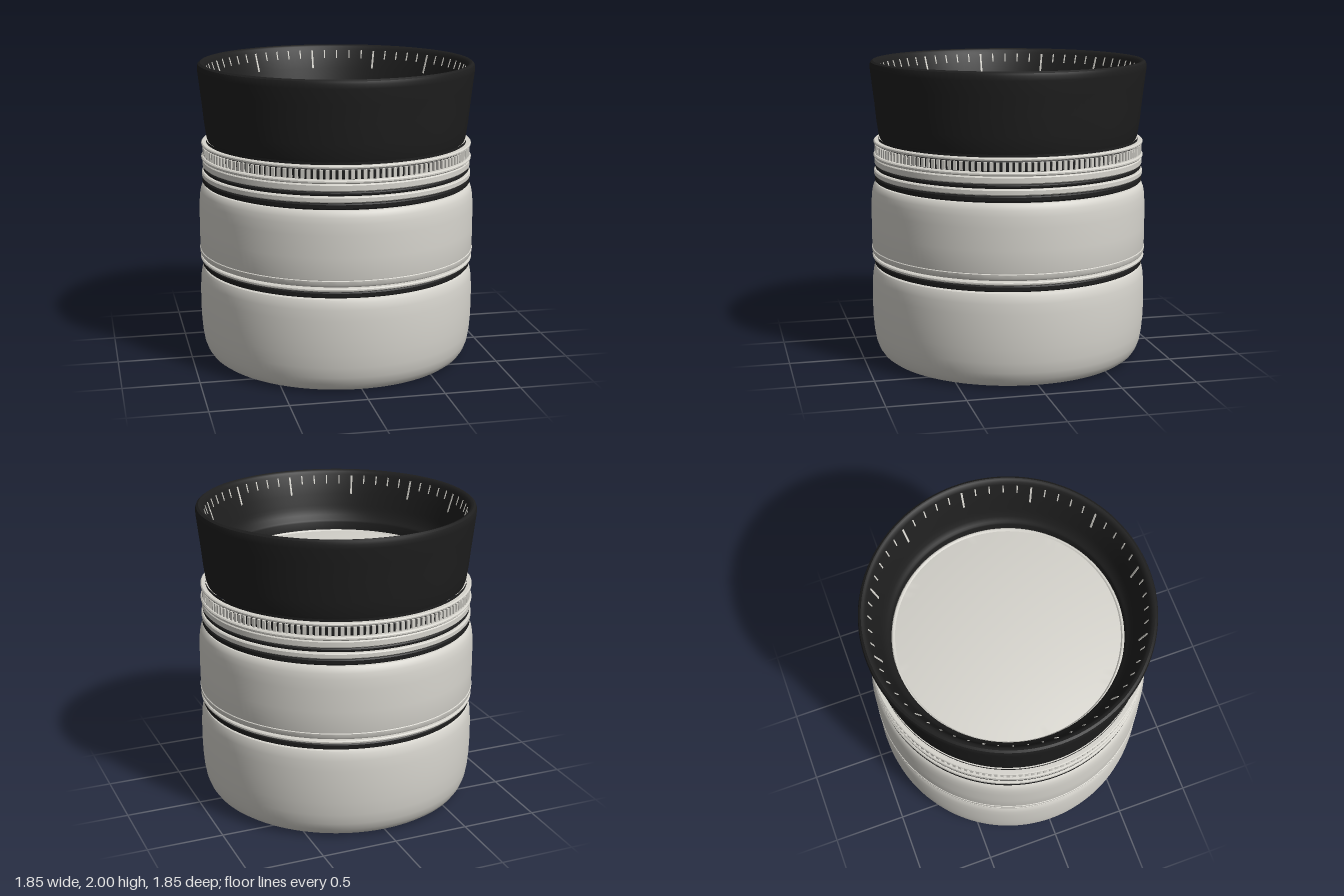
import * as THREE from 'three';
import { toCreasedNormals } from 'three/addons/utils/BufferGeometryUtils.js';

const silver = new THREE.MeshStandardMaterial({ color: 0xd6d4cd });
silver.name = 'warm silver';
const black = new THREE.MeshStandardMaterial({ color: 0x1e1e1e });
black.name = 'matte black';

export function createModel() {
  const model = new THREE.Group();
  model.name = 'lensBarrel';

  // Turned part from [radius, height] points, run anticlockwise in section
  function turned(name, material, points) {
    const profile = points.map(([r, y]) => new THREE.Vector2(r, y));
    const geometry = toCreasedNormals(new THREE.LatheGeometry(profile, 128), 0.6);
    const mesh = new THREE.Mesh(geometry, material);
    mesh.name = name;
    model.add(mesh);
  }

  // Ring with slightly eased edges
  function ring(name, material, r, y0, y1, inner = 0.85) {
    const e = Math.min(0.007, (y1 - y0) * 0.3);
    turned(name, material, [[inner, y0], [r - e, y0], [r, y0 + e], [r, y1 - e], [r - e, y1], [inner, y1]]);
  }

  // Lower barrel with an open foot
  turned('lowerBarrel', silver, [
    [0.727, 0.11], [0.727, 0.015], [0.742, 0.003], [0.76, 0], [0.81, 0], [0.835, 0.008], [0.862, 0.028],
    [0.885, 0.062], [0.903, 0.11], [0.915, 0.18], [0.922, 0.27], [0.925, 0.37], [0.923, 0.49],
    [0.918, 0.56], [0.91, 0.605], [0.9, 0.624], [0.885, 0.631], [0.85, 0.631],
  ]);

  // Hollow inside of the barrel, seen through the foot
  turned('innerTube', black, [[0.735, 1.57], [0.735, 0.11], [0.727, 0.108]]);

  // Dark core showing in the grooves
  turned('core', black, [[0.868, 0.6], [0.868, 1.49]]);

  // Middle barrel and its lower flange
  ring('lowerBand', black, 0.906, 0.636, 0.674);
  ring('lowerTrim', silver, 0.92, 0.68, 0.702);
  turned('middleBarrel', silver, [
    [0.85, 0.708], [0.902, 0.708], [0.915, 0.714], [0.922, 0.726], [0.924, 0.75], [0.919, 0.754],
    [0.921, 0.762], [0.922, 0.9], [0.921, 1.04], [0.917, 1.11], [0.91, 1.15], [0.9, 1.178],
    [0.888, 1.19], [0.85, 1.193],
  ]);

  // Stack of collars below the hood
  ring('upperBand', black, 0.896, 1.199, 1.236);
  ring('collarLow', silver, 0.9, 1.241, 1.279);
  ring('collarBand', black, 0.89, 1.283, 1.307);
  ring('collarMiddle', silver, 0.895, 1.311, 1.357);
  ring('collarHigh', silver, 0.902, 1.361, 1.384);
  ring('collarTop', silver, 0.9, 1.453, 1.473);

  // Ribbed grip ring
  ring('gripBase', black, 0.882, 1.388, 1.449);
  const ribCount = 144;
  const ribs = new THREE.InstancedMesh(new THREE.BoxGeometry(0.021, 0.056, 0.024), silver, ribCount);
  ribs.name = 'gripRibs';
  const place = new THREE.Object3D();
  for (let i = 0; i < ribCount; i++) {
    const a = (i / ribCount) * Math.PI * 2;
    place.position.set(Math.sin(a) * 0.881, 1.418, Math.cos(a) * 0.881);
    place.rotation.y = a;
    place.updateMatrix();
    ribs.setMatrixAt(i, place.matrix);
  }
  model.add(ribs);

  // Flared hood: outer wall, rounded lip, inner wall and ledge
  turned('hood', black, [
    [0.8, 1.476], [0.845, 1.476], [0.857, 1.484], [0.865, 1.51], [0.878, 1.6], [0.89, 1.72],
    [0.905, 1.85], [0.916, 1.945], [0.917, 1.972], [0.911, 1.99], [0.897, 2], [0.885, 1.998],
    [0.872, 1.988], [0.863, 1.97], [0.822, 1.84], [0.8, 1.76], [0.793, 1.735], [0.778, 1.695],
    [0.758, 1.668], [0.748, 1.66], [0.742, 1.65], [0.742, 1.57],
  ]);

  // Domed front element with a raised rim
  const dome = [];
  for (let i = 0; i <= 10; i++) {
    const r = 0.72 * (1 - i / 10);
    dome.push([r, 1.65 - 0.06 * (r / 0.72) ** 2]);
  }
  turned('frontElement', silver, [
    [0, 1.555], [0.742, 1.57], [0.742, 1.592], [0.736, 1.598], [0.728, 1.598], ...dome,
  ]);

  // Scale marks on the inside of the hood
  const slope = Math.atan2(0.863 - 0.822, 1.97 - 1.84);
  for (let i = 0; i < 60; i++) {
    const long = i % 5 === 0;
    const length = long ? 0.13 : 0.06;
    const y = 1.965 - length / 2;
    const r = 0.822 + (y - 1.84) * Math.tan(slope) - 0.002;
    const mark = new THREE.Mesh(new THREE.BoxGeometry(long ? 0.012 : 0.008, length, 0.005), silver);
    mark.name = 'scaleMark';
    const a = (i / 60) * Math.PI * 2;
    mark.position.set(Math.sin(a) * r, y, Math.cos(a) * r);
    mark.rotation.set(slope, a, 0, 'YXZ');
    model.add(mark);
  }
  return model;
}
